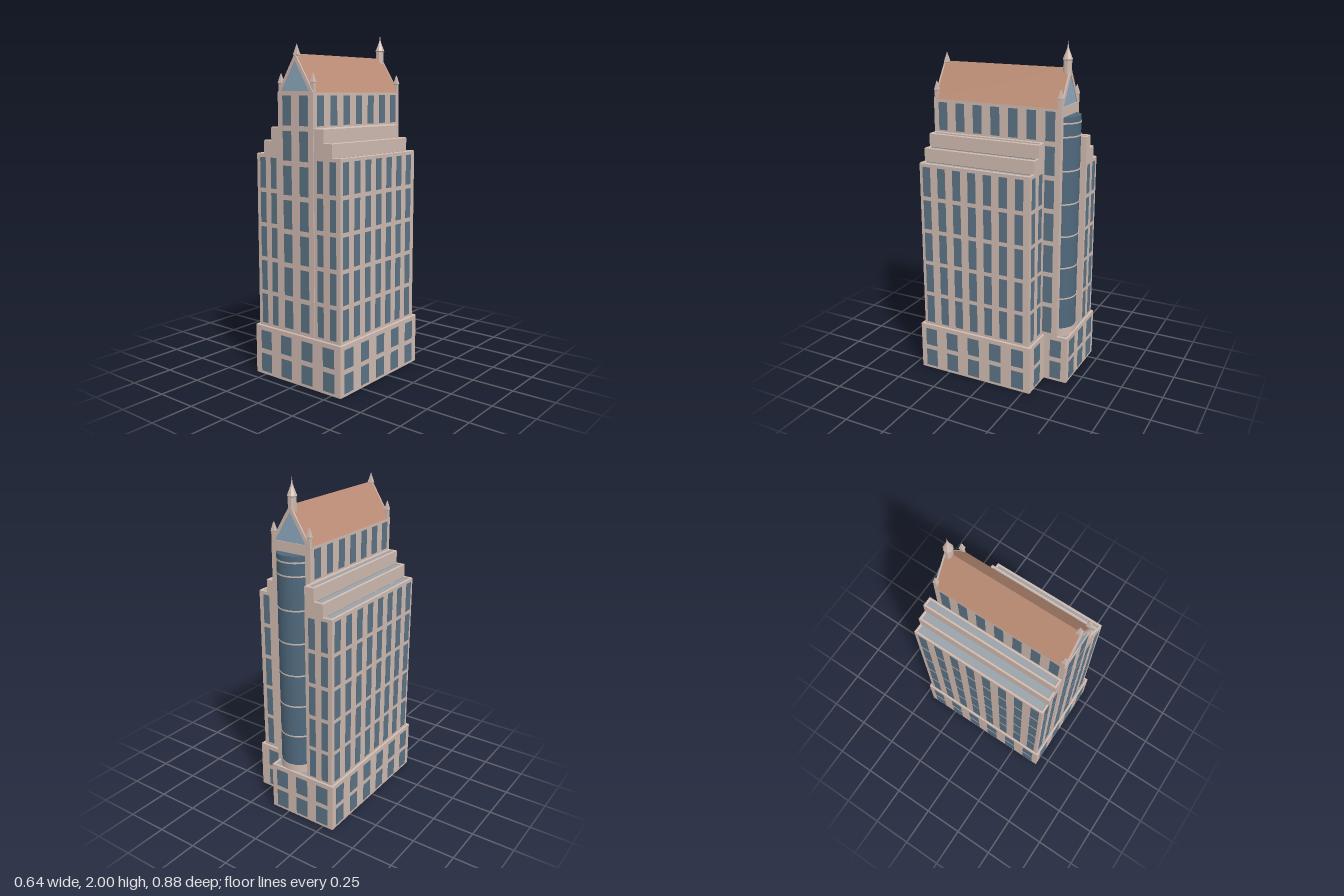
import * as THREE from 'three';
import { mergeGeometries } from 'three/addons/utils/BufferGeometryUtils.js';

const mat = (color) => new THREE.MeshStandardMaterial({ color, side: THREE.DoubleSide, flatShading: true });

export function createModel() {
  const model = new THREE.Group();
  const stone = mat(0xcfbab0), glass = mat(0x5c7385), tile = mat(0xbc8d76);
  const paleGlass = mat(0x8fabbf), deck = mat(0x98a2a9);
  const bayGlass = new THREE.MeshStandardMaterial({ color: 0x4f687c });
  const CX = -0.006; // tower axis

  const add = (name, geometry, material, x = 0, y = 0, z = 0) => {
    const mesh = new THREE.Mesh(geometry, material);
    mesh.name = name;
    mesh.position.set(x, y, z);
    model.add(mesh);
    return mesh;
  };
  const box = (name, m, x0, x1, y0, y1, z0, z1) =>
    add(name, new THREE.BoxGeometry(x1 - x0, y1 - y0, z1 - z0), m, (x0 + x1) / 2, (y0 + y1) / 2, (z0 + z1) / 2);

  // Shrinks a counter-clockwise right-angled outline by d
  const inset = (pts, d) => pts.map((p, i) => {
    const n = pts.length, a = pts[(i + n - 1) % n], b = pts[(i + 1) % n];
    const u = [Math.sign(p[0] - a[0]), Math.sign(p[1] - a[1])];
    const v = [Math.sign(b[0] - p[0]), Math.sign(b[1] - p[1])];
    return [p[0] - (u[1] + v[1]) * d, p[1] + (u[0] + v[0]) * d];
  });
  const toShape = (pts) => new THREE.Shape(pts.map((p) => new THREE.Vector2(...p)));

  // Walled storey block with a bevelled parapet and a sunken flat deck; outline is (x, -z)
  const tier = (name, pts, y0, y1) => {
    const wall = toShape(pts), inner = toShape(inset(pts, 0.014)), b = 0.004;
    wall.holes.push(inner);
    const g = new THREE.ExtrudeGeometry(wall, {
      depth: y1 - y0 - 2 * b, bevelEnabled: true, bevelSegments: 1, bevelSize: b, bevelThickness: b, bevelOffset: -b,
    });
    g.rotateX(-Math.PI / 2);
    add(name, g, stone, 0, y0 + b, 0);
    const d = new THREE.ShapeGeometry(inner);
    d.rotateX(-Math.PI / 2);
    add(name + 'Deck', d, deck, 0, y1 - 0.01, 0);
  };
  const rect = (x0, x1, z0, z1) => [[x0, -z1], [x1, -z1], [x1, -z0], [x0, -z0]];

  // Base with a notched back corner
  tier('base', [[-0.32, -0.44], [0.32, -0.44], [0.32, 0.295], [0.115, 0.295], [0.115, 0.44], [-0.32, 0.44]], 0, 0.3);

  // Stepped wings, the right one shorter at the back
  const steps = [[0.307, 0.288, 1.31], [0.25, 1.3, 1.385], [0.193, 1.375, 1.46]];
  steps.forEach(([x, y0, y1], i) => {
    tier('wingLeftTier' + i, rect(0.12, x - 0.003, -0.277, 0.421), y0, y1);
    tier('wingRightTier' + i, rect(-x, -0.132, -0.428, 0.421), y0, y1);
  });

  // Central tower
  const TX0 = CX - 0.128, TX1 = CX + 0.128, TZ0 = -0.375, TZ1 = 0.426;
  box('tower', stone, TX0, TX1, 0.288, 1.65, TZ0, TZ1);

  // Windows: thin panes in a grid on a wall facing along one axis
  const panes = [];
  const windows = (axis, plane, centres, width, y0, rows, step, height) => {
    for (const c of centres) {
      for (let r = 0; r < rows; r++) {
        const g = axis === 'z' ? new THREE.BoxGeometry(width, height, 0.004) : new THREE.BoxGeometry(0.004, height, width);
        const y = y0 + r * step + height / 2;
        panes.push(axis === 'z' ? g.translate(c, y, plane) : g.translate(plane, y, c));
      }
    }
  };
  const run = (start, step, n) => Array.from({ length: n }, (_, i) => start + i * step);
  const baseRows = [0.02, 2, 0.14, 0.11], wingRows = [0.312, 5, 0.2, 0.175], towerRows = [0.318, 7, 0.192, 0.163];
  windows('z', 0.44, run(-0.236, 0.157, 4), 0.08, ...baseRows);
  windows('z', -0.44, run(-0.245, 0.143, 3), 0.08, ...baseRows);
  windows('z', -0.295, [0.22], 0.08, ...baseRows);
  windows('x', 0.32, run(-0.215, 0.146, 5), 0.075, ...baseRows);
  windows('x', 0.115, [-0.367], 0.07, ...baseRows);
  windows('x', -0.32, run(-0.365, 0.146, 6), 0.075, ...baseRows);
  for (const z of [0.421, -0.277]) windows('z', z, [0.165, 0.254], 0.042, ...wingRows);
  for (const z of [0.421, -0.428]) windows('z', z, [-0.26, -0.177], 0.042, ...wingRows);
  windows('x', 0.304, run(-0.215, 0.0985, 7), 0.05, ...wingRows);
  windows('x', -0.307, run(-0.375, 0.107, 8), 0.053, ...wingRows);
  windows('z', TZ1, [CX - 0.061, CX + 0.061], 0.062, ...towerRows);
  windows('x', TX1, [-0.312], 0.058, 0.318, 6, 0.192, 0.163);
  for (const x of [TX0, TX1]) windows('x', x, run(-0.312, 0.113, 7), 0.056, 1.47, 1, 0, 0.163);
  add('windows', mergeGeometries(panes), glass);

  // Curved glass bay on the back, with stone bands
  const bayZ = -0.329, bayR = 0.105;
  add('glassBay', new THREE.CylinderGeometry(bayR, bayR, 1.31, 48), bayGlass, CX, 0.945, bayZ);
  const band = (y, h) => add('bayBand', new THREE.CylinderGeometry(bayR + 0.002, bayR + 0.002, h, 48),
    new THREE.MeshStandardMaterial({ color: 0xcfbab0 }), CX, y, bayZ);
  band(0.315, 0.05);
  run(0.53, 0.192, 6).forEach((y) => band(y, 0.008));
  band(1.565, 0.008);

  // Gabled roof and glazed gable ends
  const tri = (w, y0, y1) => toShape([[CX - w, y0], [CX + w, y0], [CX, y1]]);
  const prism = (shape, depth) => new THREE.ExtrudeGeometry(shape, { depth, bevelEnabled: false });
  add('roof', prism(tri(0.128, 1.65, 1.855), 0.781), tile, 0, 0, -0.365);
  for (const [z, pane] of [[0.416, 0.422], [-0.375, -0.371]]) {
    const trim = tri(0.128, 1.65, 1.855);
    trim.holes.push(tri(0.1, 1.657, 1.818));
    add('gableTrim', prism(trim, 0.01), stone, 0, 0, z);
    add('gableGlass', new THREE.ShapeGeometry(tri(0.101, 1.656, 1.82)), paleGlass, 0, 0, pane);
  }

  // Pinnacles at the eave corners and ridge ends
  const pinnacle = (name, profile, sides, x, y, z) => add(name,
    new THREE.LatheGeometry(profile.map((p) => new THREE.Vector2(...p)), sides, Math.PI / sides), stone, x, y, z);
  const small = [[0, 0], [0.015, 0.02], [0.015, 0.075], [0.019, 0.078], [0.006, 0.118], [0, 0.132]];
  for (const x of [CX - 0.116, CX + 0.116]) {
    for (const z of [0.41, -0.365]) pinnacle('cornerPinnacle', small, 4, x, 1.623, z);
  }
  pinnacle('frontRidgePinnacle', [[0, 0], [0.017, 0.025], [0.017, 0.09], [0.021, 0.093], [0.006, 0.135], [0, 0.155]], 4, CX, 1.755, 0.408);
  pinnacle('backRidgeSpire',
    [[0, 0], [0.024, 0.035], [0.024, 0.115], [0.028, 0.12], [0.008, 0.17], [0.004, 0.185], [0, 0.22]], 8, CX, 1.78, -0.352);

  return model;
}
